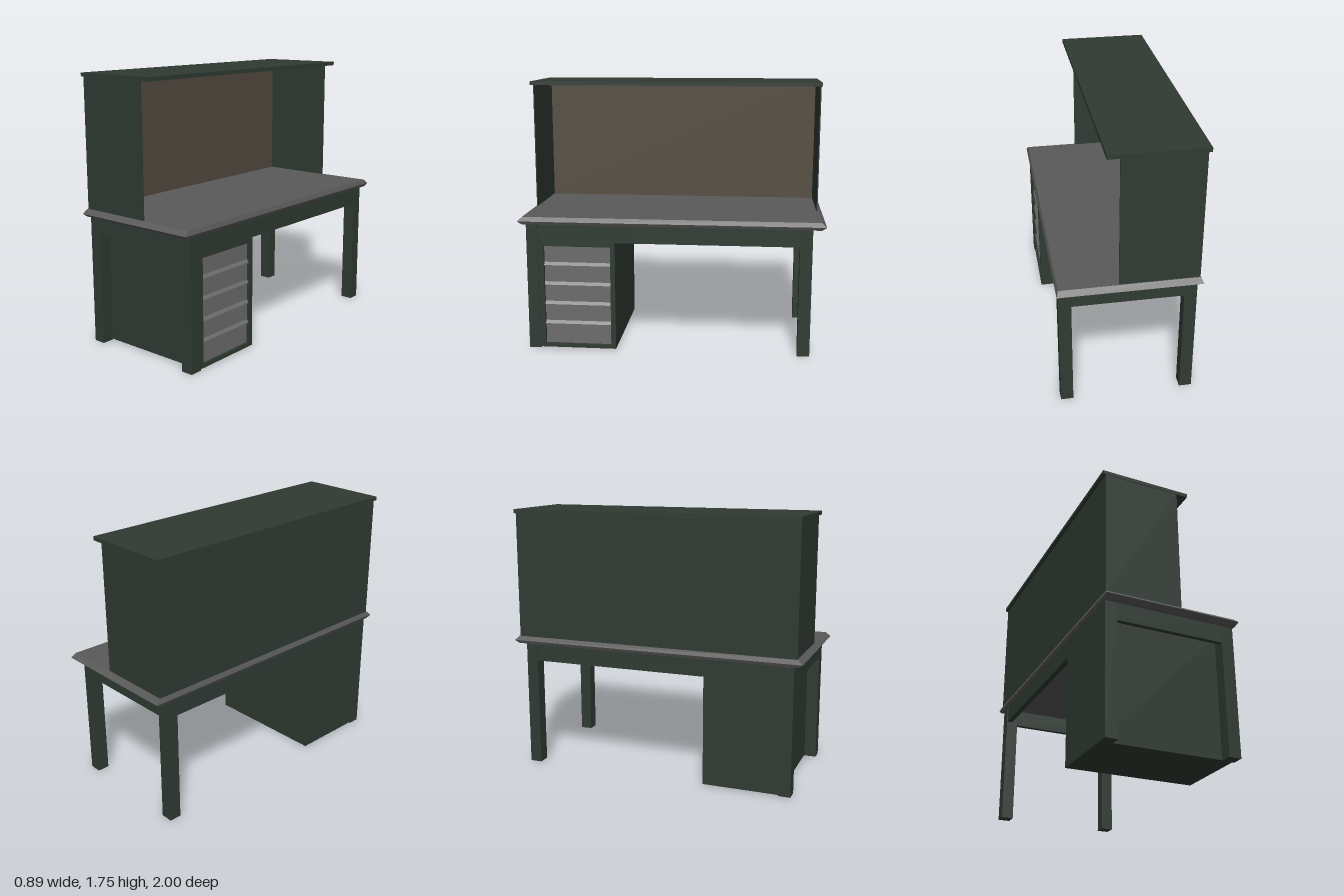
import * as THREE from 'three';

export function createModel() {
  const model = new THREE.Group();
  const paint = (color) => new THREE.MeshStandardMaterial({ color, flatShading: true });
  const green = paint(0x2f3a32);
  const grey = paint(0x5a5a5a);
  const steel = paint(0x6c6c6c);
  const cork = paint(0x534a3f);

  const add = (name, geometry, material, parent = model) => {
    const mesh = new THREE.Mesh(geometry, material);
    mesh.name = name;
    parent.add(mesh);
    return mesh;
  };
  // Box given by its limits along each axis
  const box = (name, [x0, x1], [y0, y1], [z0, z1], material, parent) => {
    const g = new THREE.BoxGeometry(x1 - x0, y1 - y0, z1 - z0);
    g.translate((x0 + x1) / 2, (y0 + y1) / 2, (z0 + z1) / 2);
    return add(name, g, material, parent);
  };

  // Desktop with a bevelled edge: stacked rectangles [y, half width, half length]
  const rings = [[0.845, 0.435, 0.97], [0.866, 0.445, 1], [0.895, 0.433, 0.968]];
  const corners = rings.flatMap(([y, x, z]) => [-x, y, z, x, y, z, x, y, -z, -x, y, -z]);
  const faces = [0, 2, 1, 0, 3, 2, 8, 9, 10, 8, 10, 11];
  for (let r = 0; r < 2; r++) {
    for (let i = 0; i < 4; i++) {
      const a = r * 4 + i, b = r * 4 + (i + 1) % 4;
      faces.push(a, b, b + 4, a, b + 4, a + 4);
    }
  }
  const slab = new THREE.BufferGeometry();
  slab.setAttribute('position', new THREE.Float32BufferAttribute(corners, 3));
  slab.setIndex(faces);
  const top = slab.toNonIndexed();
  top.computeVertexNormals();
  add('desktop', top, grey);

  // Legs and the end aprons between them
  const ends = [[0.865, 0.945], [-0.915, -0.835]];
  const base = new THREE.Group();
  base.name = 'base';
  model.add(base);
  ends.forEach((z, i) => {
    box('leg', [0.35, 0.43], [0, 0.845], z, green, base);
    box('leg', [-0.43, -0.35], [0, 0.845], z, green, base);
    const outer = i === 0 ? [0.915, 0.945] : [-0.915, -0.885];
    box('endApron', [-0.35, 0.35], [0.73, 0.845], outer, green, base);
  });
  // Long aprons, set in slightly from the legs
  box('longApron', [0.39, 0.425], [0.73, 0.845], [-0.835, 0.865], green, base);
  box('longApron', [-0.425, -0.39], [0.73, 0.845], [-0.835, 0.865], green, base);

  // Drawer cabinet: carcass with a raised frame round the drawers
  const cabinet = new THREE.Group();
  cabinet.name = 'cabinet';
  model.add(cabinet);
  box('carcass', [-0.425, 0.4], [0.005, 0.845], [0.36, 0.865], green, cabinet);
  box('frameSide', [0.4, 0.425], [0.005, 0.73], [0.36, 0.392], green, cabinet);
  box('frameSide', [0.4, 0.425], [0.005, 0.73], [0.833, 0.865], green, cabinet);
  box('frameBottom', [0.4, 0.425], [0.005, 0.03], [0.392, 0.833], green, cabinet);
  box('frameTop', [0.4, 0.425], [0.7, 0.73], [0.392, 0.833], green, cabinet);

  // Drawer fronts, each with a sloping lip at its lower edge
  const pitch = 0.134;
  for (let i = 0; i < 5; i++) {
    const lip = i === 0 ? 0.406 : 0.421;
    const profile = new THREE.Shape([
      [0.395, 0], [lip, 0], [lip, 0.004], [0.406, 0.023], [0.406, pitch], [0.395, pitch],
    ].map(([x, y]) => new THREE.Vector2(x, y)));
    const g = new THREE.ExtrudeGeometry(profile, { depth: 0.441, bevelEnabled: false });
    g.translate(0, 0.03 + i * pitch, 0.392);
    add('drawerFront', g, steel, cabinet);
  }

  // Hutch standing on the back half of the desktop
  const hutch = new THREE.Group();
  hutch.name = 'hutch';
  model.add(hutch);
  const rise = [0.895, 1.73];
  box('hutchBack', [-0.43, -0.422], rise, [-0.96, 0.96], green, hutch);
  box('pinboard', [-0.422, -0.418], rise, [-0.955, 0.955], cork, hutch);
  box('hutchSide', [-0.43, 0.068], rise, [0.956, 0.963], green, hutch);
  box('hutchSide', [-0.43, 0.068], rise, [-0.963, -0.956], green, hutch);
  box('hutchTop', [-0.45, 0.143], [1.73, 1.755], [-0.966, 0.966], green, hutch);

  return model;
}
